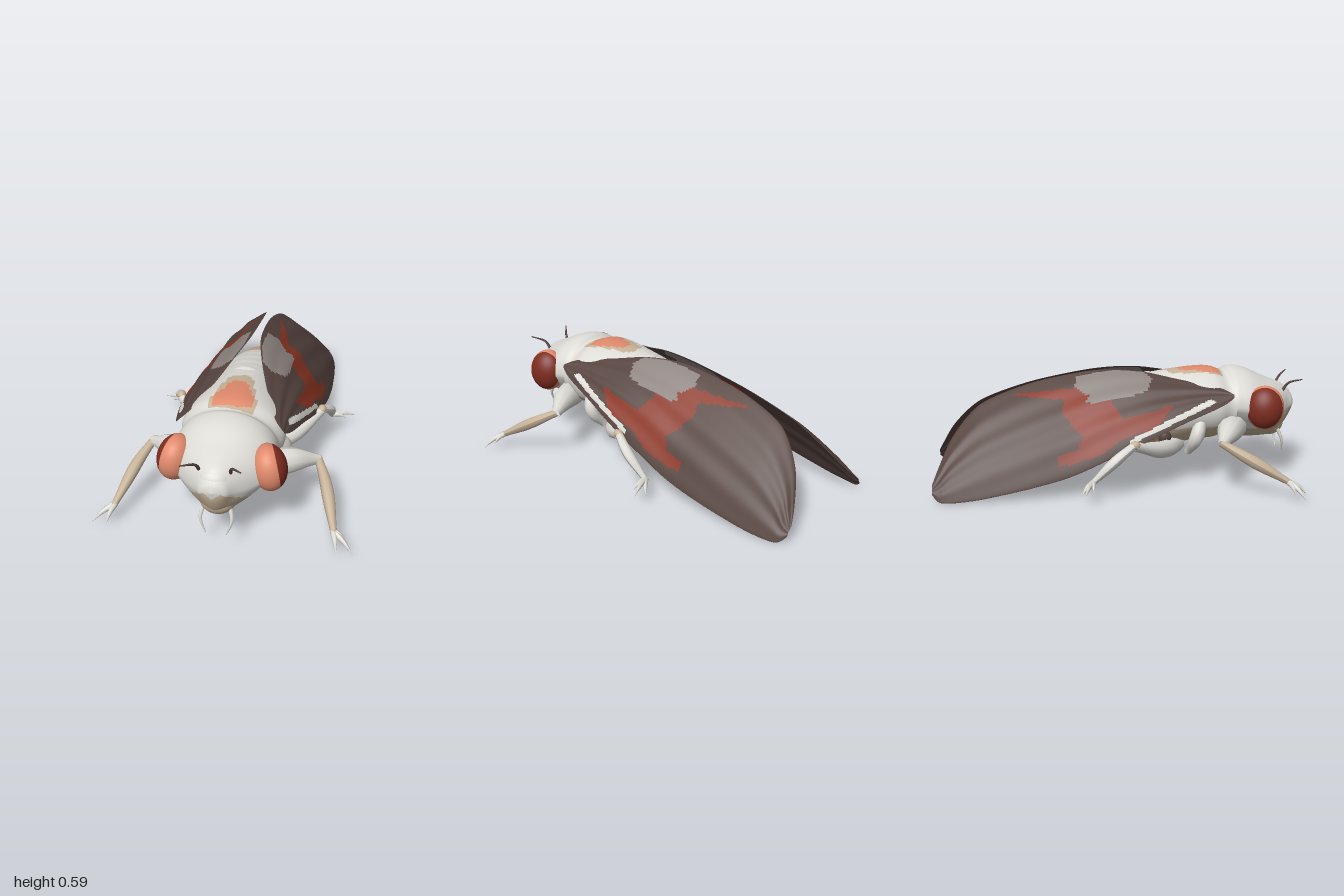
import * as THREE from 'three';
import { mergeVertices } from 'three/addons/utils/BufferGeometryUtils.js';

const material = (name, color) => {
  const m = new THREE.MeshStandardMaterial({ color });
  m.name = name;
  return m;
};
const white = material('ivory white', 0xdcdad4);
const tan = material('tan', 0xc6b298);
const salmon = material('salmon', 0xe08a6c);
const rust = material('rust red', 0x8c3624);
const eyeRed = material('eye red', 0x7d2c20);
const brown = material('wing brown', 0x56443f);
const grey = material('wing grey', 0x8d8480);

// Smooth value along a table of rows, t from 0 to 1
function sample(rows, t) {
  const f = Math.min(t, 1) * (rows.length - 1);
  const i = Math.min(Math.floor(f), rows.length - 2), k = f - i;
  const at = (n) => rows[Math.max(0, Math.min(rows.length - 1, n))];
  const [a, b, c, d] = [at(i - 1), at(i), at(i + 1), at(i + 2)];
  return b.map((p, n) => {
    const m0 = (c[n] - a[n]) / 2, m1 = (d[n] - p) / 2, e = p - c[n];
    return p + k * (m0 + k * (-3 * e - 2 * m0 - m1 + k * (2 * e + m0 + m1)));
  });
}

// Closed loft from point(u, angle); paint(x, y, z) picks the colour index of each cell
function loft(name, nu, nv, point, paint, materials) {
  const pos = [], cells = materials.map(() => []);
  for (let i = 0; i <= nu; i++)
    for (let j = 0; j <= nv; j++) pos.push(...point(i / nu, ((j % nv) / nv) * Math.PI * 2));
  for (let i = 0; i < nu; i++)
    for (let j = 0; j < nv; j++) {
      const a = i * (nv + 1) + j, b = a + 1, c = a + nv + 1, d = c + 1;
      const mid = [0, 1, 2].map((n) => (pos[a * 3 + n] + pos[d * 3 + n]) / 2);
      cells[paint(...mid)].push(a, b, c, b, d, c);
    }
  let geo = new THREE.BufferGeometry();
  geo.setAttribute('position', new THREE.Float32BufferAttribute(pos, 3));
  geo.setIndex(cells.flat());
  geo = mergeVertices(geo, 1e-5);
  geo.clearGroups();
  let start = 0;
  cells.forEach((list, n) => {
    if (list.length) geo.addGroup(start, list.length, n);
    start += list.length;
  });
  geo.computeVertexNormals();
  const mesh = new THREE.Mesh(geo, materials);
  mesh.name = name;
  return mesh;
}

// Tapered tube through points, radius following its own list
function limb(name, points, radii, mat, n = 18, sides = 10) {
  const curve = new THREE.CatmullRomCurve3(points.map((p) => new THREE.Vector3(...p)));
  const geo = new THREE.TubeGeometry(curve, n, 1, sides);
  const p = geo.attributes.position, v = new THREE.Vector3();
  for (let i = 0; i <= n; i++) {
    const centre = curve.getPointAt(i / n);
    const r = Math.max(0.0005, sample(radii.map((x) => [x]), i / n)[0]);
    for (let j = 0; j <= sides; j++) {
      const k = i * (sides + 1) + j;
      v.fromBufferAttribute(p, k).sub(centre).multiplyScalar(r).add(centre);
      p.setXYZ(k, v.x, v.y, v.z);
    }
  }
  geo.computeVertexNormals();
  const mesh = new THREE.Mesh(geo, mat);
  mesh.name = name;
  return mesh;
}

function blob(name, mat, centre, radii) {
  const mesh = new THREE.Mesh(new THREE.SphereGeometry(1, 28, 20), mat);
  mesh.name = name;
  mesh.position.set(...centre);
  mesh.scale.set(...radii);
  return mesh;
}

function inside(poly, x, y) {
  let hit = false;
  poly.forEach(([ax, ay], i) => {
    const [bx, by] = poly[(i + 1) % poly.length];
    if (ay > y !== by > y && x < ((bx - ax) * (y - ay)) / (by - ay) + ax) hit = !hit;
  });
  return hit;
}

// Body rows: z, half width, top, bottom
const bodyRows = [
  [0.985, 0, 0.39, 0.39], [0.97, 0.058, 0.43, 0.325], [0.93, 0.095, 0.475, 0.25], [0.87, 0.16, 0.505, 0.2],
  [0.8, 0.22, 0.533, 0.19], [0.7, 0.25, 0.578, 0.19], [0.62, 0.245, 0.59, 0.2], [0.57, 0.24, 0.57, 0.22],
  [0.5, 0.26, 0.59, 0.2], [0.4, 0.25, 0.59, 0.19], [0.25, 0.22, 0.575, 0.16], [0.1, 0.2, 0.55, 0.14],
  [-0.1, 0.19, 0.5, 0.12], [-0.3, 0.165, 0.43, 0.1], [-0.42, 0.13, 0.37, 0.105], [-0.5, 0.07, 0.29, 0.14],
  [-0.52, 0, 0.21, 0.21]];
const halo = [[0.03, 0.25], [0.07, 0.29], [0.09, 0.4], [0.125, 0.52], [0.11, 0.57],
  [-0.11, 0.55], [-0.115, 0.5], [-0.08, 0.33], [-0.06, 0.27]];
const core = [[0.03, 0.32], [0.06, 0.38], [0.105, 0.47], [0.1, 0.53], [0.03, 0.545],
  [-0.1, 0.54], [-0.105, 0.47], [-0.06, 0.4], [-0.04, 0.32]];

function makeBody() {
  const point = (u, a) => {
    const [z, w, top, low] = sample(bodyRows, u);
    const ridge = z < 0.1 && z > -0.45 ? 1 + 0.008 * Math.sin(z * 70) : 1;
    const chin = z > 0.6 ? 1 - 0.33 * Math.max(0, -Math.cos(a)) : 1;
    return [Math.sin(a) * w * ridge * chin, (top + low) / 2 + (Math.cos(a) * (top - low) * ridge) / 2, z];
  };
  const paint = (x, y, z) => {
    const side = Math.abs(x);
    // face
    if (z > 0.6) return y < 0.385 - Math.abs(side - 0.04) * 0.9 || y < 0.225 ? 1 : 0;
    // abdomen: tan along the middle of the belly and across the back
    if (z < -0.1) {
      if (y > 0.4) return z < -0.3 ? 2 : z < -0.22 ? 1 : 0;
      return y < 0.2 && side < 0.07 && z > -0.3 ? 1 : 2;
    }
    if (y > 0.45 && inside(core, x, z)) return 2;
    if (y > 0.45 && inside(halo, x, z)) return 1;
    return y < 0.3 ? 1 : 0;
  };
  return loft('body', 200, 80, point, paint, [white, tan, salmon]);
}

// Wing rows: z, inner edge x and y, outer edge x and y
const wingRows = [
  [0.575, 0.255, 0.485, 0.265, 0.47], [0.5, 0.2, 0.515, 0.29, 0.43], [0.3, 0.13, 0.55, 0.33, 0.36],
  [0.1, 0.07, 0.588, 0.365, 0.28], [-0.1, 0.03, 0.594, 0.385, 0.2], [-0.3, 0.02, 0.568, 0.395, 0.12],
  [-0.5, 0.022, 0.525, 0.4, 0.07], [-0.7, 0.04, 0.455, 0.395, 0.03], [-0.8, 0.07, 0.39, 0.39, 0.014],
  [-0.9, 0.14, 0.275, 0.382, 0.005], [-0.965, 0.235, 0.155, 0.368, 0.008], [-1, 0.31, 0.08, 0.34, 0.04]];
const rustPatch = [
  [0.26, 0.45], [-0.02, 0.38], [-0.07, 0.46], [-0.04, 0.505], [-0.16, 0.52], [-0.35, 0.507], [-0.58, 0.48],
  [-0.31, 0.46], [-0.33, 0.41], [-0.28, 0.35], [-0.23, 0.3], [-0.26, 0.25], [-0.36, 0.22], [-0.36, 0.17],
  [-0.28, 0.18], [-0.15, 0.22], [-0.02, 0.3], [0.14, 0.34]];
const whiteStrip = [[0.48, 0.455], [0.44, 0.465], [0.2, 0.372], [0, 0.288], [0, 0.265], [0.2, 0.345], [0.42, 0.43]];
const greyPatch = [
  [0.2, -0.21], [0.165, -0.18], [0.11, -0.25], [0.045, -0.24], [0.05, -0.03], [0.08, 0.12], [0.13, 0.16],
  [0.2, 0.12], [0.215, 0]];

function makeWing() {
  const point = (u, a) => {
    const [z, xi, yi, xo, yo] = sample(wingRows, u);
    const s = (1 - Math.cos(a)) / 2, dx = xo - xi, dy = yo - yi, len = Math.hypot(dx, dy);
    const fold = 0.004 * Math.sin(s * 22 + z * 5) * Math.sin(Math.PI * s);
    const lift = len * 0.26 * s * (1 - s) + (fold + 0.009 * Math.sin(a)) * Math.min(1, len * 4);
    return [xi + dx * s - (dy / len) * lift, yi + dy * s + (dx / len) * lift, z];
  };
  const paint = (x, y, z) => {
    if (inside(greyPatch, x, z)) return 2;
    if (inside(whiteStrip, z, y)) return 3;
    return inside(rustPatch, z, y) ? 1 : 0;
  };
  return loft('wing', 180, 100, point, paint, [brown, rust, grey, white]);
}

function makeEye() {
  const eye = new THREE.Group();
  eye.name = 'eye';
  const cut = 1.17;
  [['eyeCap', eyeRed, 0, cut], ['eyeBase', salmon, cut, Math.PI - cut]].forEach(([name, mat, from, span]) => {
    const geo = new THREE.SphereGeometry(1, 32, 20, 0, Math.PI * 2, from, span).rotateZ(-Math.PI / 2);
    const mesh = new THREE.Mesh(geo, mat);
    mesh.name = name;
    eye.add(mesh);
  });
  eye.scale.set(0.087, 0.118, 0.103);
  eye.position.set(0.222, 0.4, 0.755);
  eye.rotation.set(0, 0.32, 0.15);
  return eye;
}

function makeFoot(name, x, y, z, tips) {
  const foot = new THREE.Group();
  foot.name = name;
  tips.forEach(([tx, ty, tz]) => foot.add(limb('claw',
    [[x, y, z], [(x + tx) / 2, (y + ty) / 2 + 0.012, (z + tz) / 2], [tx, ty, tz]], [0.016, 0.011, 0.001], white, 8, 8)));
  return foot;
}

// Everything on the model's left half
function makeSide(name) {
  const side = new THREE.Group();
  side.name = name;
  side.add(makeWing(), makeEye(),
    // front leg
    limb('frontFemur', [[0.17, 0.29, 0.6], [0.3, 0.295, 0.54], [0.43, 0.265, 0.47]], [0.075, 0.062, 0.024], white),
    limb('frontTibia', [[0.42, 0.275, 0.465], [0.475, 0.21, 0.58], [0.545, 0.085, 0.8]], [0.02, 0.031, 0.016], tan),
    makeFoot('frontFoot', 0.54, 0.09, 0.79, [[0.645, 0.015, 0.86], [0.61, 0.04, 0.81], [0.565, 0.03, 0.88]]),
    // tucked middle leg
    limb('middleLeg', [[0.2, 0.36, 0.42], [0.24, 0.25, 0.38], [0.18, 0.16, 0.35]], [0.03, 0.038, 0.02], white),
    blob('middleHip', brown, [0.19, 0.25, 0.22], [0.03, 0.04, 0.035]),
    // hind leg
    limb('hindFemur', [[0.1, 0.19, 0.3], [0.25, 0.2, 0.2], [0.4, 0.265, 0.02]], [0.05, 0.045, 0.022], white),
    blob('hindKnee', tan, [0.393, 0.27, 0.025], [0.023, 0.023, 0.028]),
    limb('hindTibia', [[0.39, 0.275, 0.03], [0.43, 0.21, -0.07], [0.43, 0.09, -0.2]], [0.02, 0.027, 0.014], white),
    makeFoot('hindFoot', 0.43, 0.095, -0.195, [[0.57, 0.07, -0.25], [0.5, 0.05, -0.26], [0.52, 0.075, -0.2]]),
    // feelers
    limb('antenna', [[0.07, 0.45, 0.9], [0.085, 0.5, 0.93], [0.14, 0.53, 0.99]], [0.009, 0.006, 0.003], brown, 12, 8),
    limb('palp', [[0.06, 0.25, 0.88], [0.075, 0.18, 0.91], [0.05, 0.1, 0.92]], [0.011, 0.008, 0.003], white, 12, 8));
  return side;
}

export function createModel() {
  const model = new THREE.Group();
  model.name = 'cicada';
  const left = makeSide('leftSide'), right = makeSide('rightSide');
  right.scale.x = -1;
  model.add(makeBody(), left, right,
    blob('forehead', white, [0, 0.42, 0.89], [0.085, 0.063, 0.077]),
    blob('muzzle', tan, [0, 0.27, 0.855], [0.09, 0.08, 0.08]),
    blob('collarRidge', white, [0, 0.52, 0.16], [0.08, 0.05, 0.045]));
  return model;
}
